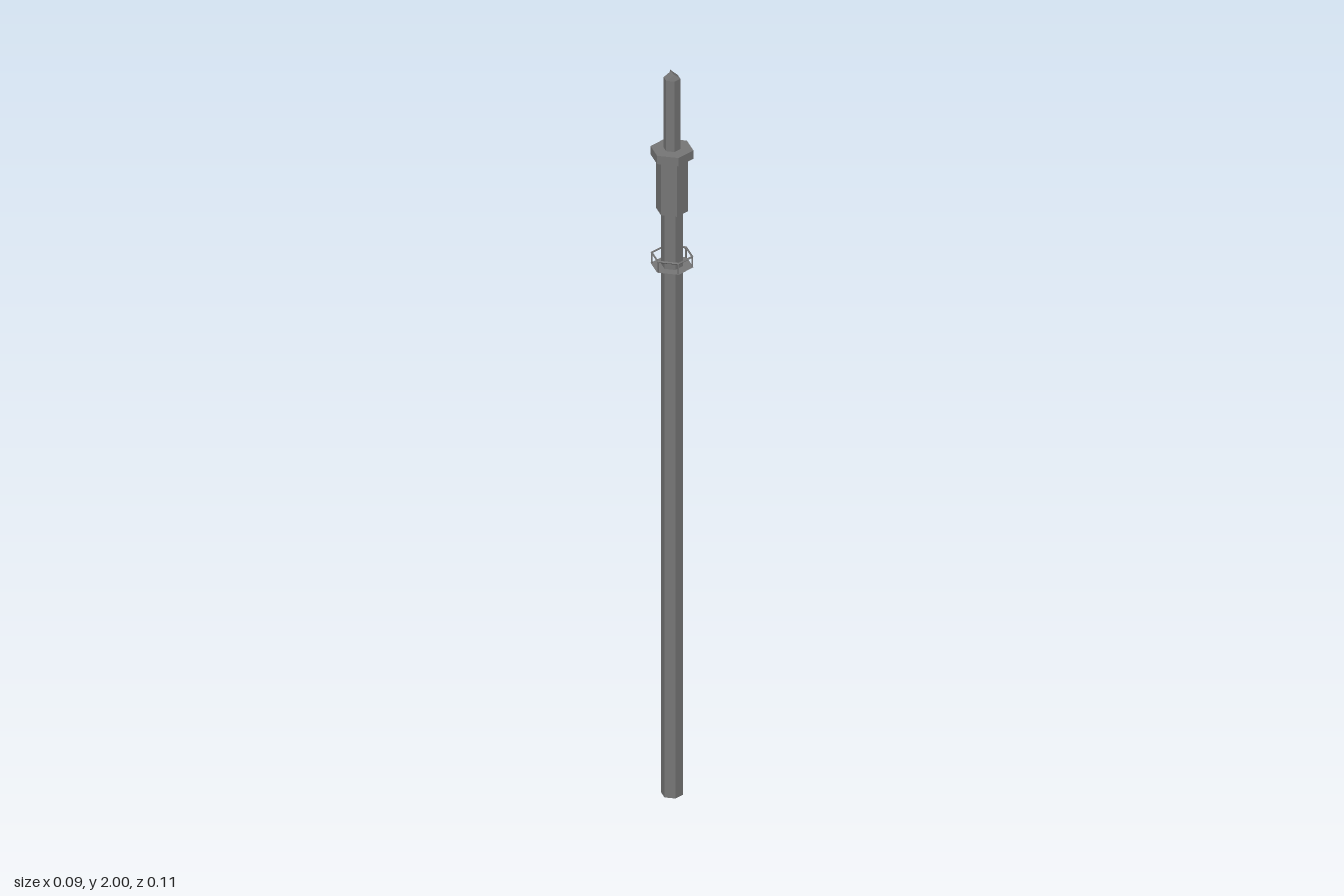
import * as THREE from 'three';

const SIDES = 6;

export function createModel() {
  const group = new THREE.Group();
  const material = new THREE.MeshStandardMaterial({
    color: 0x757575, flatShading: true, side: THREE.DoubleSide,
  });

  const add = (name, geometry, parent = group) => {
    const mesh = new THREE.Mesh(geometry, material);
    mesh.name = name;
    parent.add(mesh);
    return mesh;
  };

  // Upright hexagonal section with corners on the z axis
  const prism = (name, bottom, top, radius) => {
    const geometry = new THREE.CylinderGeometry(radius, radius, top - bottom, SIDES);
    return add(name, geometry.translate(0, (bottom + top) / 2, 0));
  };

  prism('shaft', 0, 1.62, 0.027);
  prism('sleeve', 1.62, 1.77, 0.04);
  prism('flange', 1.767, 1.79, 0.054);
  prism('tipRod', 1.79, 1.985, 0.021);

  // Tip closes to a short ridge running front to back
  const tip = prism('tipRidge', 1.985, 2, 0.021).geometry;
  const position = tip.attributes.position;
  for (let i = 0; i < position.count; i++) {
    if (position.getY(i) > 1.99) position.setX(i, 0).setZ(i, position.getZ(i) * 0.8);
  }
  tip.computeVertexNormals();

  // Open guard ring: thin plate, corner posts and a fine upper rim
  const guard = new THREE.Group();
  guard.name = 'guardRing';
  group.add(guard);
  const plate = new THREE.RingGeometry(0.026, 0.054, SIDES, 1, Math.PI / 2);
  add('guardPlate', plate.rotateX(-Math.PI / 2).translate(0, 1.466, 0), guard);
  const rim = new THREE.TorusGeometry(0.051, 0.003, 4, SIDES);
  add('guardRim', rim.rotateX(Math.PI / 2).rotateY(Math.PI / 2).translate(0, 1.495, 0), guard);
  for (let i = 0; i < SIDES; i++) {
    const angle = (i / SIDES) * Math.PI * 2;
    const post = add('guardPost', new THREE.BoxGeometry(0.003, 0.031, 0.003), guard);
    post.position.set(Math.sin(angle) * 0.051, 1.4815, Math.cos(angle) * 0.051);
    post.rotation.y = angle;
  }

  return group;
}
